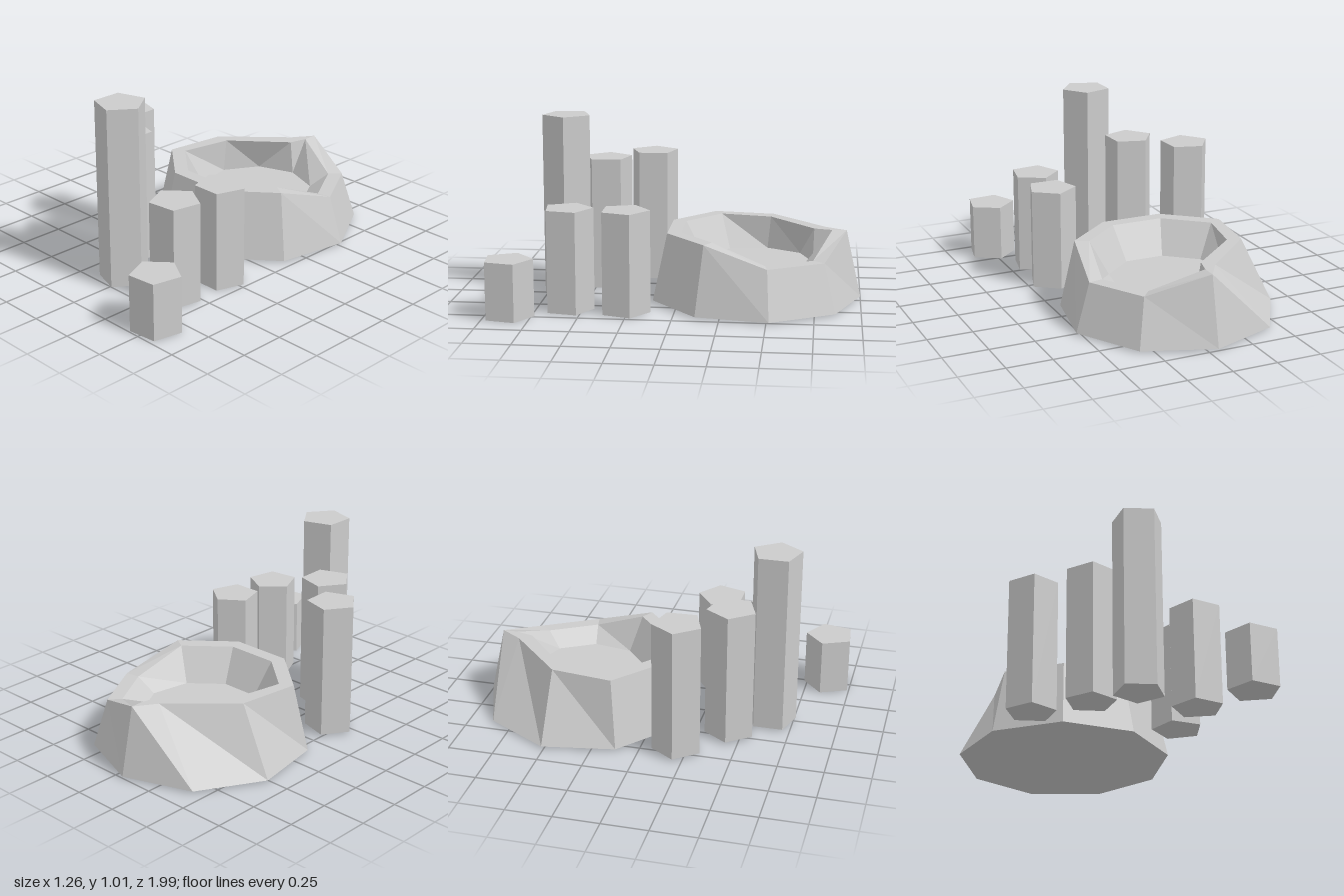
import * as THREE from 'three';

const SIDES = 9;
const CENTER_X = -0.053;
const CENTER_Z = -0.413;

// Nine-sided horizontal ring; corner 0 is at the back, running towards +x.
function ring(radius, y) {
  return Array.from({ length: SIDES }, (_, i) => {
    const a = -Math.PI / 2 + (i / SIDES) * Math.PI * 2;
    return new THREE.Vector3(CENTER_X + radius * Math.cos(a), y, CENTER_Z + radius * Math.sin(a));
  });
}

// Rim ring: two corners dip on one side, two are pushed inward on the other.
function rimRing(radius) {
  const r = ring(radius, 0.385);
  r[1].y = r[2].y = 0.275;
  r[7].x += 0.105;
  r[8].x += 0.247;
  return r;
}

function createBasin(material) {
  const loops = [ring(0.587, 0.01), rimRing(0.505), rimRing(0.425), ring(0.32, 0.2)];
  const bottom = new THREE.Vector3(CENTER_X, 0.01, CENTER_Z);
  const floor = new THREE.Vector3(CENTER_X, 0.2, CENTER_Z);
  const points = [];
  for (let i = 0; i < SIDES; i++) {
    const j = (i + 1) % SIDES;
    // Outer wall, rim and inner wall
    for (let k = 0; k < loops.length - 1; k++) {
      const [a, b] = [loops[k], loops[k + 1]];
      points.push(a[i], b[i], b[j], a[i], b[j], a[j]);
    }
    // Underside and basin floor
    points.push(bottom, loops[0][i], loops[0][j]);
    points.push(loops[3][i], floor, loops[3][j]);
  }
  const geometry = new THREE.BufferGeometry().setFromPoints(points);
  geometry.computeVertexNormals();
  const mesh = new THREE.Mesh(geometry, material);
  mesh.name = 'rockBasin';
  return mesh;
}

// Upright five-sided stone column; angle is the direction of one corner.
function createColumn(material, { x, z, base, top, angle }) {
  const geometry = new THREE.CylinderGeometry(0.138, 0.138, top - base, 5);
  const mesh = new THREE.Mesh(geometry, material);
  mesh.position.set(x, (top + base) / 2, z);
  mesh.rotation.y = Math.PI / 2 - THREE.MathUtils.degToRad(angle);
  return mesh;
}

export function createModel() {
  const stone = new THREE.MeshStandardMaterial({ color: 0xcccccc, flatShading: true });
  const model = new THREE.Group();
  model.name = 'rockBasinWithColumns';
  model.add(createBasin(stone));

  const columns = new THREE.Group();
  columns.name = 'stoneColumns';
  [
    { x: -0.45, z: 0.195, base: 0.01, top: 0.75, angle: 178 },
    { x: -0.207, z: 0.432, base: 0.01, top: 0.75, angle: 178 },
    { x: -0.02, z: 0.63, base: 0.01, top: 1.015, angle: 0 },
    { x: 0.347, z: 0.265, base: 0, top: 0.56, angle: -90 },
    { x: 0.326, z: 0.574, base: 0, top: 0.56, angle: -97 },
    { x: 0.5, z: 0.871, base: 0, top: 0.315, angle: -96 },
  ].forEach((spec, i) => {
    const column = createColumn(stone, spec);
    column.name = `column${i + 1}`;
    columns.add(column);
  });
  model.add(columns);
  return model;
}
